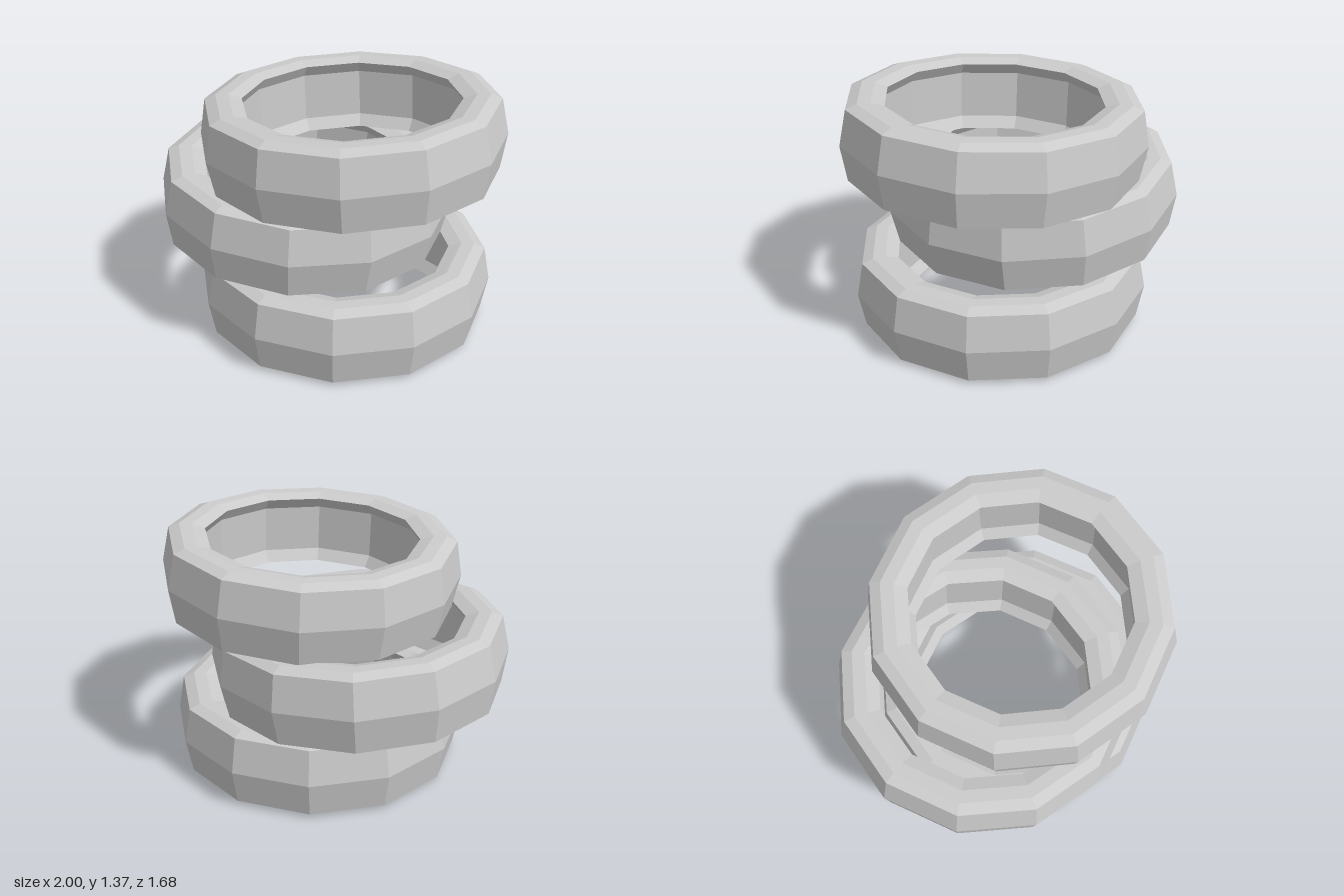
import * as THREE from 'three';

// Half cross-section of a tyre as [radius, height above its mid-plane],
// from the tread centre over the sidewall to the recessed inner wall
const HALF_PROFILE = [
  [0.84, 0],
  [0.803, 0.198],  // tread shoulder
  [0.742, 0.223],  // sidewall
  [0.67, 0.223],
  [0.597, 0.2],    // bead lip
  [0.64, 0.135],   // recessed inner wall
];

// Lower and upper halves joined into one closed loop
function tyreGeometry() {
  const upper = HALF_PROFILE.map(([r, y]) => new THREE.Vector2(r, y));
  const lower = HALF_PROFILE.slice(1).reverse().map(([r, y]) => new THREE.Vector2(r, -y));
  const loop = [...upper, ...lower, upper[0].clone()];
  return new THREE.LatheGeometry(loop, 12);
}

export function createModel() {
  const group = new THREE.Group();
  group.name = 'tyreStack';
  const material = new THREE.MeshStandardMaterial({ color: 0xcccccc, flatShading: true });
  const geometry = tyreGeometry();

  // Loosely stacked tyres: sideways offset, height and tilt in degrees
  const tyres = [
    { name: 'bottomTyre', x: 0.113, y: 0.223, tilt: 0 },
    { name: 'middleTyre', x: -0.163, y: 0.68, tilt: -3 },
    { name: 'topTyre', x: 0.157, y: 1.12, tilt: 2.4 },
  ];
  for (const { name, x, y, tilt } of tyres) {
    const tyre = new THREE.Mesh(geometry, material);
    tyre.name = name;
    tyre.position.set(x, y, 0);
    tyre.rotation.z = THREE.MathUtils.degToRad(tilt);
    group.add(tyre);
  }
  return group;
}
